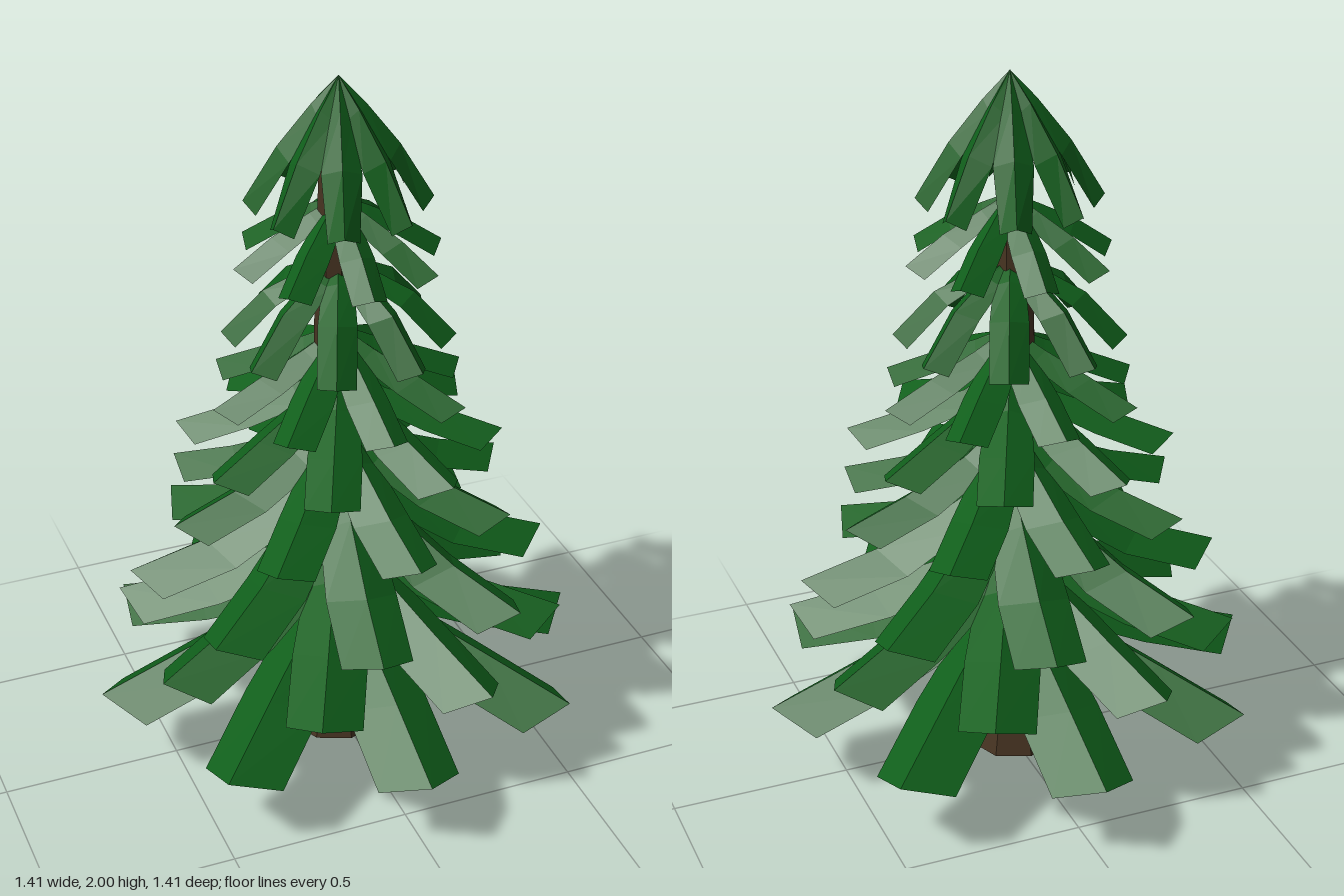
import * as THREE from 'three';

const needles = new THREE.MeshStandardMaterial({ color: 0x105f1b, flatShading: true, side: THREE.DoubleSide });
const bark = new THREE.MeshStandardMaterial({ color: 0x463321, flatShading: true, side: THREE.DoubleSide });

const BRANCHES = 8;

// Tiers from the ground up: turn in degrees, reach, ridge heights from trunk to tip,
// droop of the side edges, half width at the middle as a share of the reach
const TIERS = [
  { turn: -1, reach: 0.705, ridge: [0.57, 0.44, 0.345, 0.25], droop: 0.05, mid: 0.165 },
  { turn: 19.5, reach: 0.628, ridge: [0.71, 0.58, 0.49, 0.41], droop: 0.05, mid: 0.165 },
  { turn: -10, reach: 0.588, ridge: [0.88, 0.77, 0.655, 0.58], droop: 0.042, mid: 0.165 },
  { turn: 4.5, reach: 0.492, ridge: [1.03, 0.93, 0.85, 0.79], droop: 0.034, mid: 0.165 },
  { turn: 21, reach: 0.445, ridge: [1.19, 1.10, 1.04, 0.98], droop: 0.03, mid: 0.165 },
  { turn: 2, reach: 0.362, ridge: [1.29, 1.235, 1.175, 1.11], droop: 0.026, mid: 0.165 },
  { turn: 22.5, reach: 0.314, ridge: [1.49, 1.455, 1.39, 1.265], droop: 0.02, mid: 0.165 },
  { turn: -3, reach: 0.287, ridge: [1.67, 1.63, 1.575, 1.50], droop: 0.025, mid: 0.165 },
  { turn: -18, reach: 0.248, ridge: [2.0, 1.925, 1.81, 1.66], droop: 0.025, mid: 0.21 },
];
const ALONG = [0, 0.28, 0.64, 1];      // section positions along the reach
const SETBACK = [0, 0.06, 0.12, 0.13]; // side edges lag behind the ridge, leaving a pointed tip

// One folded branch along +x: a ridge with two drooping sides
function branchGeometry({ reach, ridge, droop, mid }) {
  const half = [0.03, 0.135, mid, 0.165];
  const pos = [], index = [];
  ALONG.forEach((t, i) => {
    const x = t * reach, y = ridge[i], w = half[i] * reach;
    const ex = x - SETBACK[i] * reach, ey = y - droop * (i ? 1 : 0.4);
    pos.push(ex, ey, w, x, y, 0, ex, ey, -w);
    if (i === 0) return;
    const a = (i - 1) * 3, b = i * 3;
    for (let s = 0; s < 2; s++) {
      index.push(a + s + 1, a + s, b + s, a + s + 1, b + s, b + s + 1);
    }
  });
  const g = new THREE.BufferGeometry();
  g.setAttribute('position', new THREE.Float32BufferAttribute(pos, 3));
  g.setIndex(index);
  const flat = g.toNonIndexed();
  flat.computeVertexNormals();
  return flat;
}

export function createModel() {
  const tree = new THREE.Group();
  tree.name = 'pineTree';

  // Trunk, open below, with a flared foot and a blunt top
  const profile = [[0.132, 0], [0.103, 0.13], [0.095, 0.27], [0.07, 0.8], [0.055, 1.4], [0.042, 1.78], [0, 1.83]]
    .map(([r, y]) => new THREE.Vector2(r, y));
  const trunk = new THREE.Mesh(new THREE.LatheGeometry(profile, 8), bark);
  trunk.name = 'trunk';
  trunk.position.x = -0.012;
  tree.add(trunk);

  // Tiers of branches
  TIERS.forEach((tier, n) => {
    const group = new THREE.Group();
    group.name = `branchTier${n + 1}`;
    group.rotation.y = THREE.MathUtils.degToRad(tier.turn);
    const geometry = branchGeometry(tier);
    for (let k = 0; k < BRANCHES; k++) {
      const branch = new THREE.Mesh(geometry, needles);
      branch.name = 'branch';
      branch.rotation.y = (k / BRANCHES) * Math.PI * 2;
      group.add(branch);
    }
    tree.add(group);
  });
  return tree;
}
